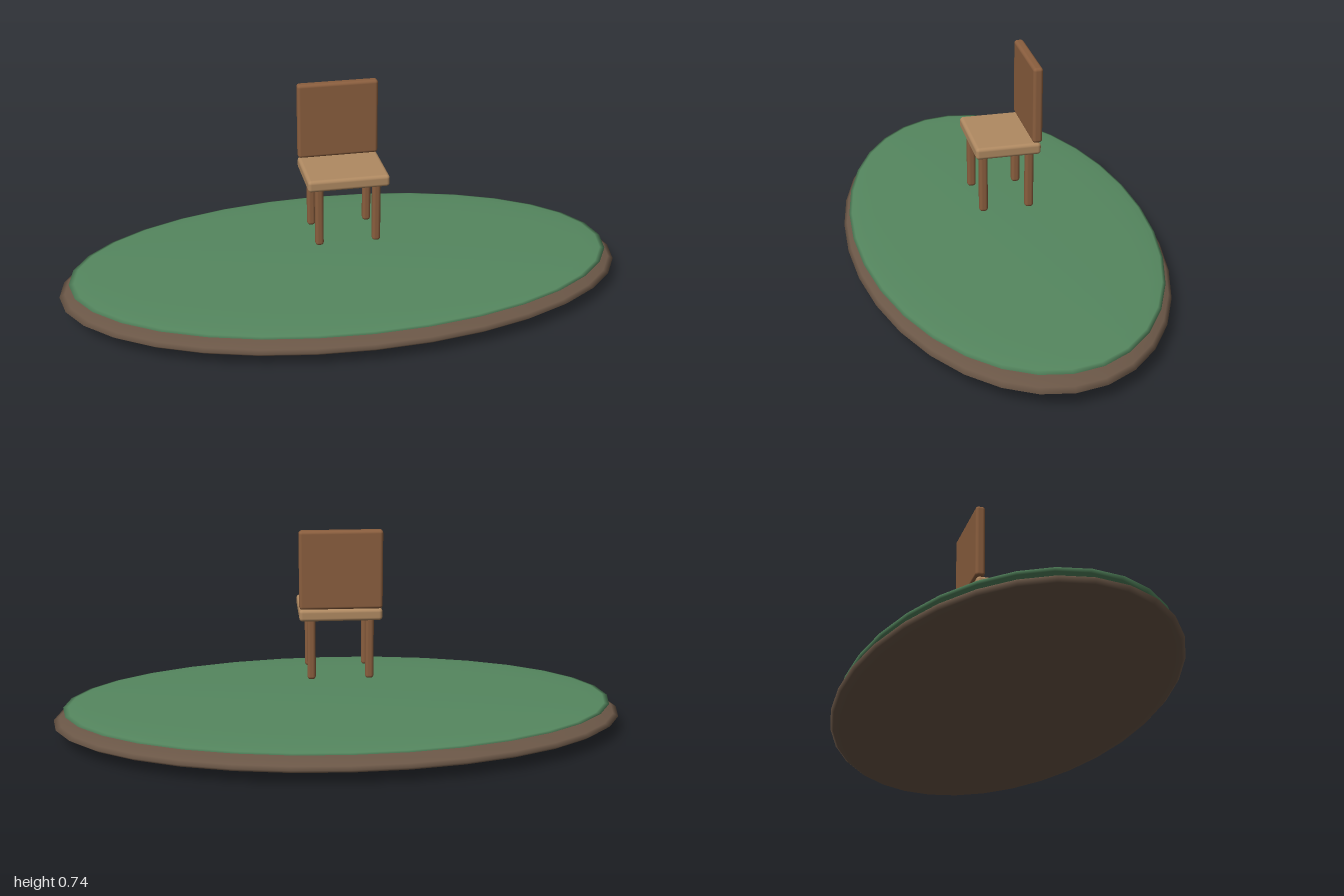
import * as THREE from 'three';
import { RoundedBoxGeometry } from 'three/addons/geometries/RoundedBoxGeometry.js';

export function createModel() {
  const model = new THREE.Group();
  const mat = (name, color) => {
    const m = new THREE.MeshStandardMaterial({ color });
    m.name = name;
    return m;
  };
  const earth = mat('earth brown', 0x6b5747);
  const grass = mat('grass green', 0x55875f);
  const lightWood = mat('light wood', 0xb08a62);
  const darkWood = mat('dark wood', 0x8a5e3e);

  const add = (parent, name, geometry, material, x, y, z) => {
    const mesh = new THREE.Mesh(geometry, material);
    mesh.name = name;
    mesh.position.set(x, y, z);
    parent.add(mesh);
    return mesh;
  };

  // Island: two flattened spheres, earth below and grass above
  const disc = (name, material, y, rx, ry, rz) =>
    add(model, name, new THREE.SphereGeometry(1, 32, 16).scale(rx, ry, rz), material, 0, y, 0);
  disc('earthBase', earth, 0.059, 1, 0.056, 0.545);
  disc('grassTop', grass, 0.104, 0.965, 0.018, 0.525);

  // Chair floating just above the grass
  const chair = new THREE.Group();
  chair.name = 'chair';
  model.add(chair);
  const block = (name, material, w, h, d, r, x, y, z) =>
    add(chair, name, new RoundedBoxGeometry(w, h, d, 3, r), material, x, y, z);

  block('seat', lightWood, 0.284, 0.042, 0.226, 0.012, 0, 0.449, 0.001);
  block('backrest', darkWood, 0.284, 0.272, 0.034, 0.011, 0, 0.607, -0.099);

  // Legs
  for (const [side, x] of [['left', 0.1], ['right', -0.1]]) {
    for (const [end, z] of [['Front', 0.082], ['Back', -0.079]]) {
      block(side + end + 'Leg', darkWood, 0.029, 0.22, 0.03, 0.011, x, 0.326, z);
    }
  }
  return model;
}
